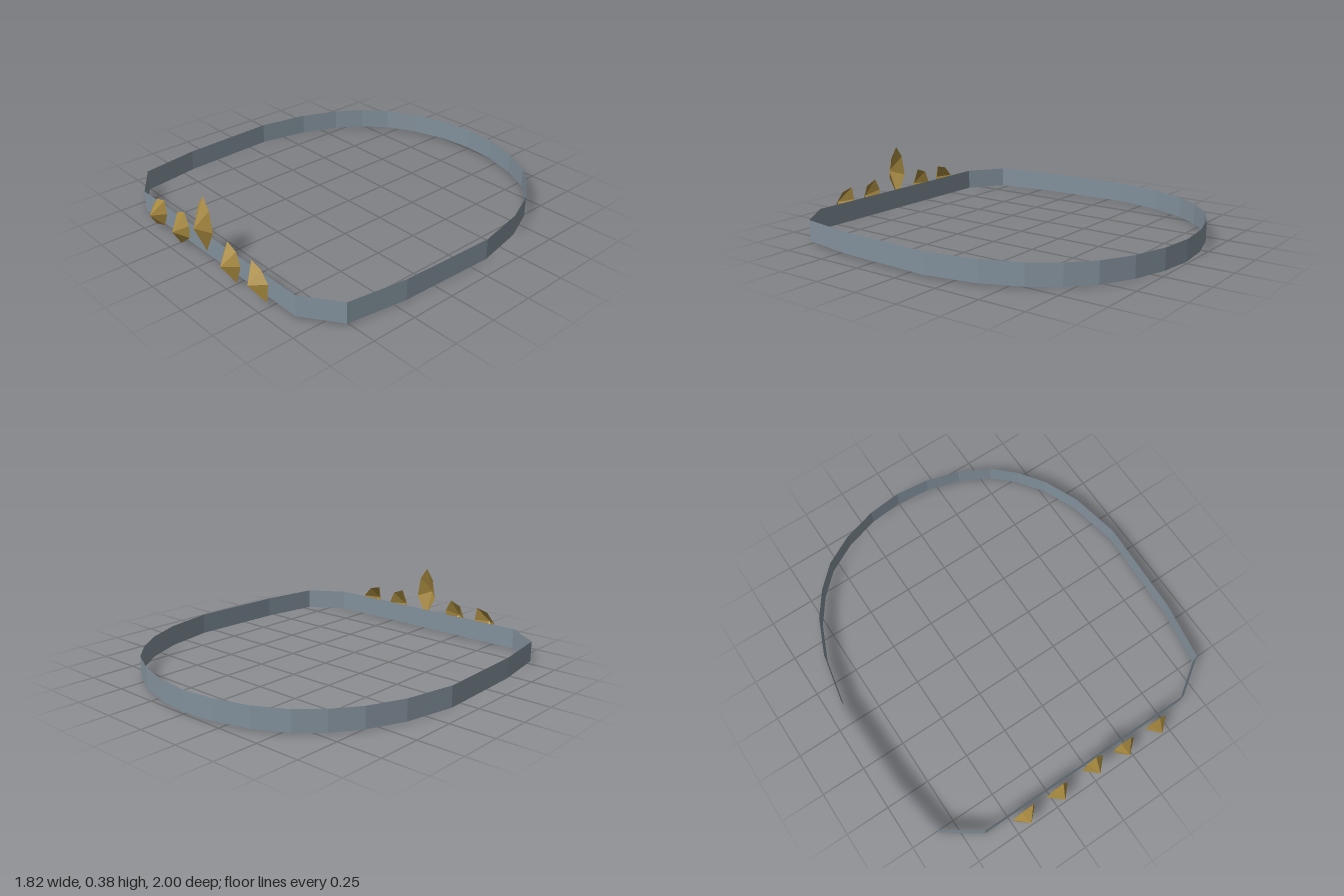
import * as THREE from 'three';

const steel = new THREE.MeshStandardMaterial({ color: 0x82909b, side: THREE.DoubleSide, flatShading: true });
steel.name = 'steel grey';
const gold = new THREE.MeshStandardMaterial({ color: 0xa88a40, side: THREE.DoubleSide, flatShading: true });
gold.name = 'antique gold';

// Flat-faced geometry from a list of triangle corners
function facets(points) {
  const geometry = new THREE.BufferGeometry().setFromPoints(points);
  geometry.computeVertexNormals();
  return geometry;
}

// Thin open band: half outline [x, z] from front to back, mirrored into a closed loop
function createBand() {
  const half = [
    [0.645, 0.9], [0.84, 0.765], [0.89, 0.44], [0.91, -0.1], [0.855, -0.38],
    [0.77, -0.58], [0.67, -0.72], [0.55, -0.835], [0.38, -0.925], [0.19, -0.98], [0, -1],
  ];
  const loop = [...half, ...half.slice(0, -1).reverse().map(([x, z]) => [-x, z])];
  const bottom = 0.01, top = 0.125, corners = [];
  loop.forEach(([x, z], i) => {
    const [nx, nz] = loop[(i + 1) % loop.length];
    const a = new THREE.Vector3(x, bottom, z), b = new THREE.Vector3(nx, bottom, nz);
    const c = new THREE.Vector3(nx, top, nz), d = new THREE.Vector3(x, top, z);
    corners.push(a, b, c, a, c, d);
  });
  const band = new THREE.Mesh(facets(corners), steel);
  band.name = 'band';
  return band;
}

// Open-backed gem: facets fan from a raised apex to an outline given clockwise from the front
function createGem(name, outline, apex, side = 1) {
  const rim = outline.map(([x, y]) => new THREE.Vector3(x * side, y, 0.935));
  if (side > 0) rim.reverse();
  const peak = new THREE.Vector3(apex[0] * side, apex[1], 1);
  const corners = rim.flatMap((p, i) => [peak, p, rim[(i + 1) % rim.length]]);
  const gem = new THREE.Mesh(facets(corners), gold);
  gem.name = name;
  return gem;
}

export function createModel() {
  const model = new THREE.Group();
  model.name = 'circlet';
  model.add(createBand());

  // Tall centre gem
  model.add(createGem('centreGem', [
    [0, 0.375], [0.045, 0.31], [0.065, 0.195], [0, 0.068], [-0.065, 0.195], [-0.045, 0.31],
  ], [0, 0.22]));

  // Smaller tilted gems, mirrored to both sides
  const inner = [[-0.185, 0.207], [-0.152, 0.14], [-0.155, 0.07], [-0.243, 0], [-0.283, 0.11], [-0.253, 0.18]];
  const outer = [[-0.373, 0.195], [-0.36, 0.12], [-0.395, 0.04], [-0.48, 0.012], [-0.495, 0.12], [-0.445, 0.177]];
  for (const [side, label] of [[1, 'right'], [-1, 'left']]) {
    model.add(createGem(label + 'InnerGem', inner, [-0.21, 0.105], side));
    model.add(createGem(label + 'OuterGem', outer, [-0.425, 0.108], side));
  }
  return model;
}
